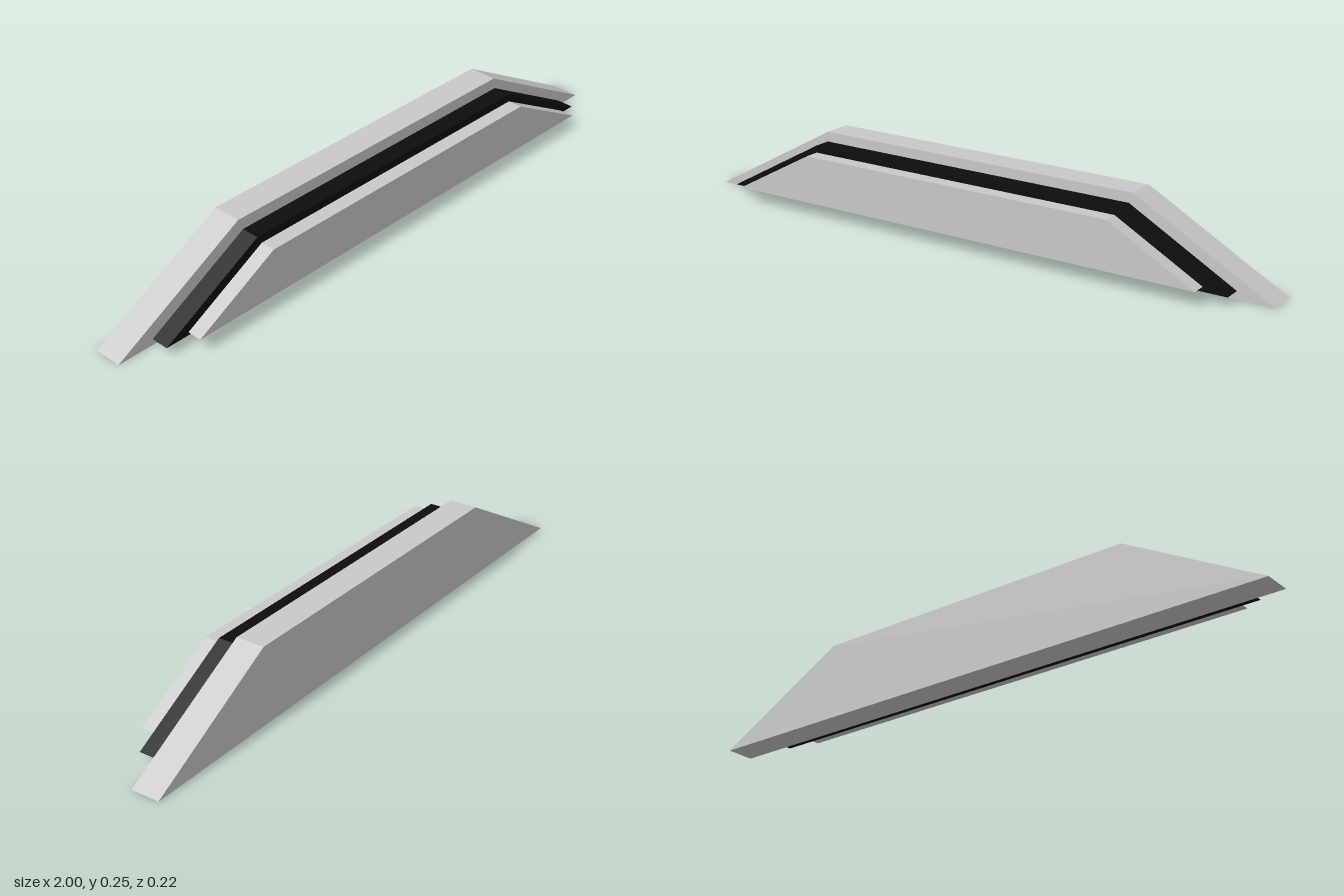
import * as THREE from 'three';

// Trapezoid slab: half widths at bottom and top, y range, z range
function slab(name, material, bottom, top, y0, y1, z0, z1) {
  const shape = new THREE.Shape([
    new THREE.Vector2(-bottom, y0),
    new THREE.Vector2(bottom, y0),
    new THREE.Vector2(top, y1),
    new THREE.Vector2(-top, y1),
  ]);
  const geometry = new THREE.ExtrudeGeometry(shape, { depth: z1 - z0, bevelEnabled: false });
  geometry.translate(0, 0, z0);
  const mesh = new THREE.Mesh(geometry, material);
  mesh.name = name;
  return mesh;
}

export function createModel() {
  const grey = new THREE.MeshStandardMaterial({ color: 0xc8c8c8 });
  grey.name = 'light grey';
  const black = new THREE.MeshStandardMaterial({ color: 0x0d0d0d });
  black.name = 'black';

  const model = new THREE.Group();
  model.name = 'layeredTrapezoidPanel';
  model.add(
    // Large back plate
    slab('backPlate', grey, 1, 0.55, 0, 0.248, -0.109, -0.016),
    // Dark layer showing as a rim around the front plate
    slab('middlePlate', black, 0.887, 0.543, 0.03, 0.22, -0.005, 0.053),
    // Small front plate
    slab('frontPlate', grey, 0.815, 0.535, 0.048, 0.201, 0.061, 0.109),
  );
  return model;
}
